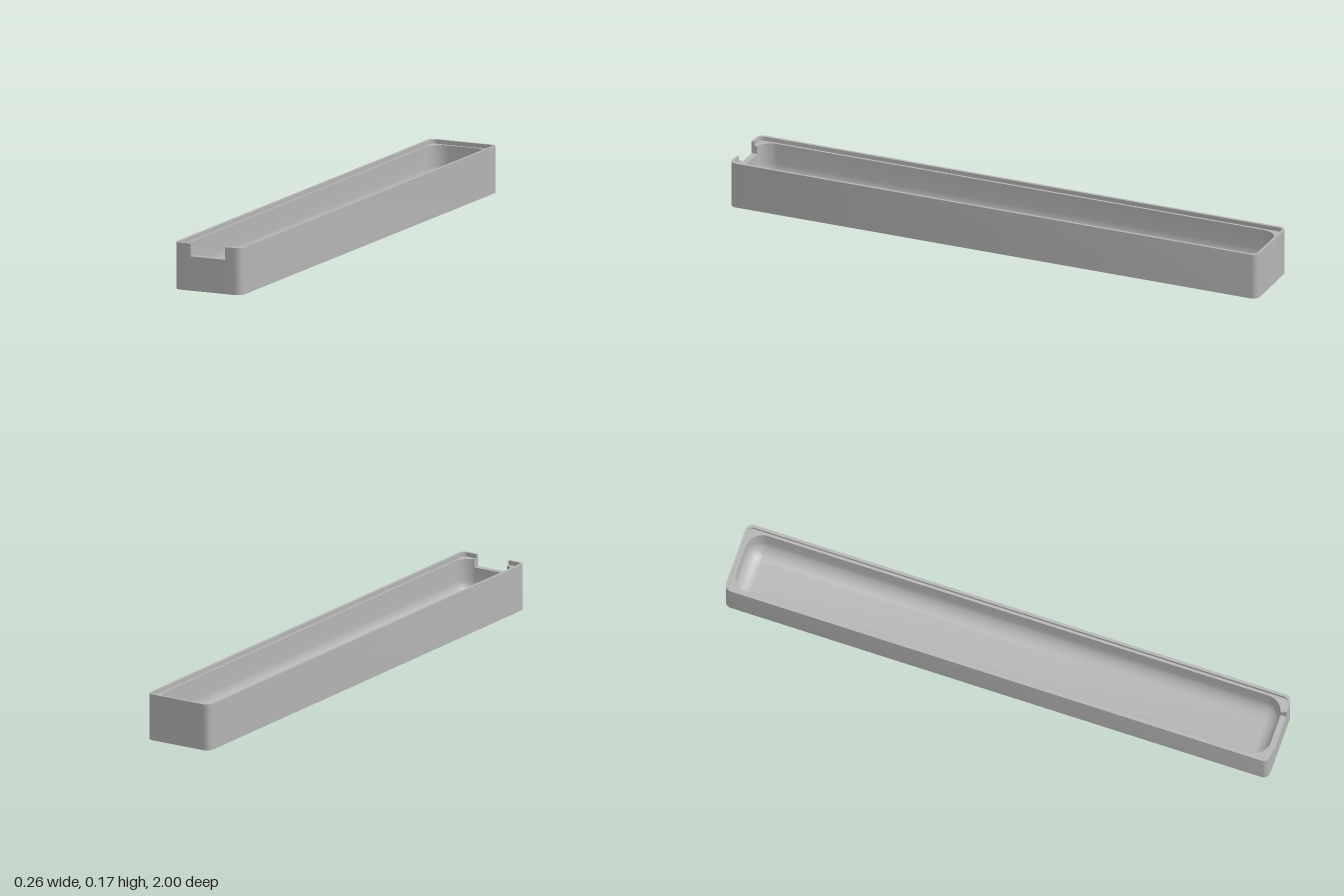
import * as THREE from 'three';
import { toCreasedNormals } from 'three/addons/utils/BufferGeometryUtils.js';

const NOTCH_X = 0.067, NOTCH_Y = 0.122, ARC = 8;

// Rounded-rectangle ring; the front stretch between +-NOTCH_X is cut down to NOTCH_Y
function ring({ hx, hz, r, y, scale = 1 }) {
  const cx = hx - r, cz = hz - r, pts = [];
  const c = Math.min(0.3, Math.max(0, (NOTCH_X - cx) / r));
  const end = Math.acos(c), nx = c > 0 ? cx + r * c : NOTCH_X;
  const nz = cz + r * Math.sin(end), low = Math.min(y, NOTCH_Y);
  const put = (x, z, h = y) => pts.push(new THREE.Vector3(x * scale, h, z * scale));
  const arc = (sx, sz, from, to) => {
    for (let i = 0; i <= ARC; i++) {
      const a = from + (to - from) * i / ARC;
      put(sx * cx + r * Math.cos(a), sz * cz + r * Math.sin(a));
    }
  };
  arc(1, 1, 0, end);
  put(nx, nz); put(nx, nz, low);
  put(-nx, nz, low); put(-nx, nz);
  arc(-1, 1, Math.PI - end, Math.PI);
  arc(-1, -1, Math.PI, Math.PI * 1.5);
  arc(1, -1, Math.PI * 1.5, Math.PI * 2);
  return pts;
}

// Skin consecutive rings, skipping collapsed triangles
function loft(rings) {
  const pos = [], tri = new THREE.Triangle();
  const add = (a, b, c) => {
    if (tri.set(a, b, c).getArea() > 1e-9) for (const p of [a, b, c]) pos.push(p.x, p.y, p.z);
  };
  for (let k = 0; k < rings.length - 1; k++) {
    const lo = rings[k], hi = rings[k + 1], n = lo.length;
    for (let i = 0; i < n; i++) {
      const j = (i + 1) % n;
      add(lo[i], hi[i], hi[j]);
      add(lo[i], hi[j], lo[j]);
    }
  }
  const g = new THREE.BufferGeometry();
  g.setAttribute('position', new THREE.Float32BufferAttribute(pos, 3));
  return toCreasedNormals(g, 0.6);
}

export function createModel() {
  const grey = new THREE.MeshStandardMaterial({ color: 0xb4b4b4 });
  grey.name = 'grey';

  const outer = { hx: 0.13, hz: 1, r: 0.025 };
  const step = { hx: 0.12, hz: 0.99, r: 0.015 };
  const cavity = { hx: 0.111, hz: 0.981, r: 0.06 };
  const top = 0.167, ledge = 0.152, floor = 0.02, fillet = 0.057;

  // Underside, outer wall, rim, stepped ledge
  const profile = [
    { ...outer, y: 0, scale: 0 }, { ...outer, y: 0 }, { ...outer, y: top },
    { ...step, y: top }, { ...step, y: ledge }, { ...cavity, y: ledge },
  ];
  // Inner wall rounding into the floor
  for (let i = 0; i <= 8; i++) {
    const a = i / 8 * Math.PI / 2, inset = fillet * (1 - Math.cos(a));
    profile.push({
      hx: cavity.hx - inset, hz: cavity.hz - inset, r: cavity.r - inset,
      y: floor + fillet * (1 - Math.sin(a)),
    });
  }
  profile.push({ ...profile[profile.length - 1], scale: 0 });

  const tray = new THREE.Mesh(loft(profile.map(ring)), grey);
  tray.name = 'notchedTray';
  const group = new THREE.Group();
  group.name = 'tray';
  group.add(tray);
  return group;
}
